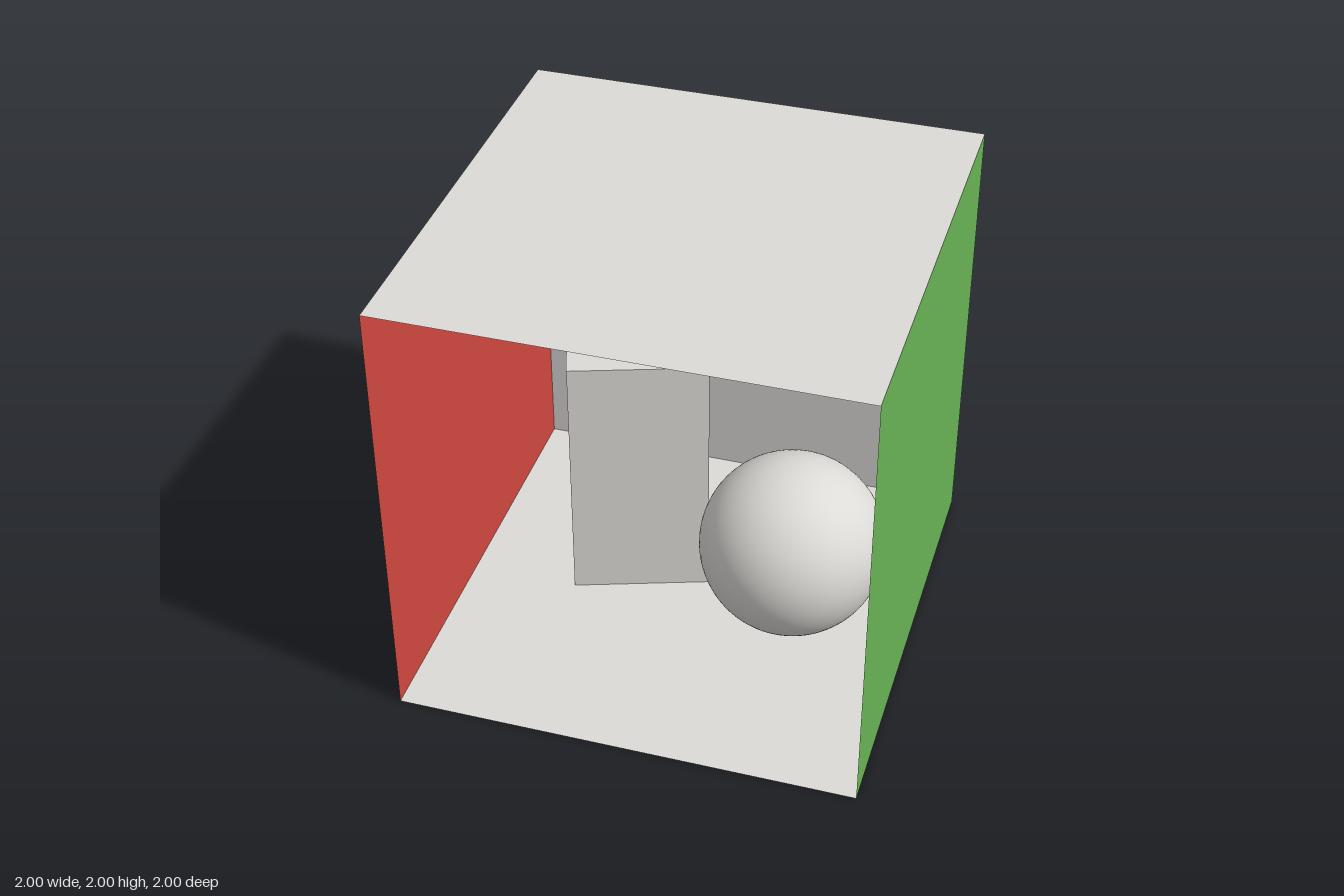
import * as THREE from 'three';

export function createModel() {
  const model = new THREE.Group();
  model.name = 'openRoom';

  const material = (name, color) => {
    const m = new THREE.MeshStandardMaterial({ color, side: THREE.DoubleSide });
    m.name = name;
    return m;
  };
  const white = material('warmWhite', 0xdddbd7);
  const red = material('red', 0xd0483f);
  const green = material('green', 0x69b355);

  const add = (name, geometry, mat, [x, y, z], [rx, ry] = [0, 0]) => {
    const mesh = new THREE.Mesh(geometry, mat);
    mesh.name = name;
    mesh.position.set(x, y, z);
    mesh.rotation.set(rx, ry, 0);
    model.add(mesh);
  };

  // Thin room shell, open at the front, each panel facing inwards
  const panel = new THREE.PlaneGeometry(2, 2);
  const quarter = Math.PI / 2;
  add('floor', panel, white, [0, 0, 0], [-quarter, 0]);
  add('ceiling', panel, white, [0, 2, 0], [quarter, 0]);
  add('backWall', panel, white, [0, 1, -1]);
  add('leftWall', panel, green, [1, 1, 0], [0, -quarter]);
  add('rightWall', panel, red, [-1, 1, 0], [0, quarter]);

  // Tall square block, turned a little on the floor
  add('tallBlock', new THREE.BoxGeometry(0.607, 1.2, 0.607), white,
    [-0.335, 0.6, -0.305], [0, 0.327]);

  // Smooth ball floating above the floor
  add('ball', new THREE.SphereGeometry(0.4, 64, 48), white, [0.49, 0.53, 0.12]);

  return model;
}
